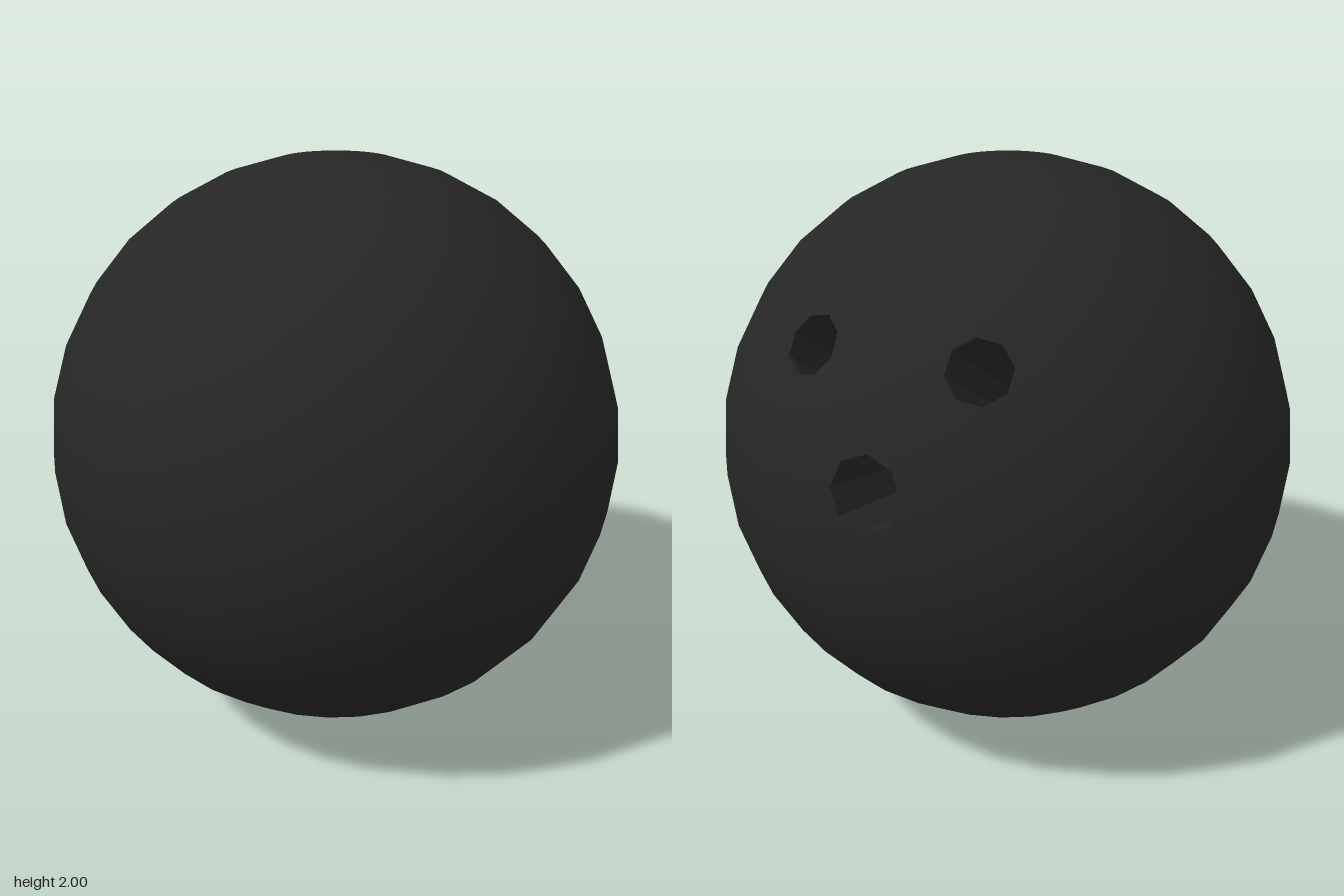
import * as THREE from 'three';

const STEP = Math.PI / 16; // 32 segments around, 16 rings
const SIDES = 8;

// lon, lat on the unit ball; lon 0 faces +x, growing toward -z
const onBall = (lon, lat) => new THREE.Vector3(
  Math.cos(lat) * Math.cos(lon), Math.sin(lat), -Math.cos(lat) * Math.sin(lon));

// centre of each hole, its inward direction, and the lowest cell (i, j) of the 2x2 cells it cuts
const HOLES = [
  { name: 'thumbHole', at: [0.98, 0.197, 0], dir: [-0.97, -0.22, 0], r: 0.12, r2: 0.085, depth: 0.8, i: -1, j: 0, turn: 0 },
  { name: 'rightFingerHole', at: [0.785, 0.553, -0.28], dir: [-0.83, -0.56, 0], r: 0.102, r2: 0.08, depth: 0.6, i: 1, j: 2, turn: 0.15 },
  { name: 'leftFingerHole', at: [0.785, 0.553, 0.28], dir: [-0.83, -0.56, 0], r: 0.102, r2: 0.08, depth: 0.6, i: -3, j: 2, turn: -0.15 },
];

// octagon around a centre, counter-clockwise seen from outside
function ring(centre, out, radius, turn) {
  const u = new THREE.Vector3(0, 1, 0).cross(out).normalize();
  const v = out.clone().cross(u).normalize();
  return Array.from({ length: SIDES }, (_, k) => {
    const a = (k / SIDES) * Math.PI * 2 + turn;
    return centre.clone().addScaledVector(u, radius * Math.cos(a)).addScaledVector(v, radius * Math.sin(a));
  });
}

function geometryFrom(points, smooth) {
  const g = new THREE.BufferGeometry().setFromPoints(points);
  if (smooth) {
    const normals = points.flatMap((p) => p.clone().normalize().toArray());
    g.setAttribute('normal', new THREE.Float32BufferAttribute(normals, 3));
  } else {
    g.computeVertexNormals();
  }
  return g;
}

// ball surface: a grid of cells, with the cells around each hole refilled up to its rim
function ballGeometry(rims) {
  const tris = [];
  const isCut = (i, j) => HOLES.some((h) => i >= h.i && i < h.i + 2 && j >= h.j && j < h.j + 2);
  for (let j = -8; j < 8; j++) {
    for (let i = -16; i < 16; i++) {
      if (isCut(i, j)) continue;
      const p = (di, dj) => onBall((i + di) * STEP, (j + dj) * STEP);
      if (j > -8) tris.push(p(0, 0), p(1, 0), p(1, 1));
      if (j < 7) tris.push(p(0, 0), p(1, 1), p(0, 1));
      if (j === -8) tris.push(p(0, 0), p(1, 1), p(0, 1));
      if (j === 7) tris.push(p(0, 0), p(1, 0), p(1, 1));
    }
  }
  const border = [[0, 0], [1, 0], [2, 0], [2, 1], [2, 2], [1, 2], [0, 2], [0, 1]];
  HOLES.forEach((h, n) => {
    const outer = border.map(([a, b]) => new THREE.Vector2((h.i + a) * STEP, (h.j + b) * STEP));
    const rim = [...rims[n]].reverse();
    const inner = rim.map((p) => new THREE.Vector2(Math.atan2(-p.z, p.x), Math.asin(p.y / p.length())));
    const all = [...outer.map((q) => onBall(q.x, q.y)), ...rim];
    for (const face of THREE.ShapeUtils.triangulateShape(outer, [inner])) {
      tris.push(...face.map((k) => all[k]));
    }
  });
  return geometryFrom(tris, true);
}

// tapered faceted bore with a flat floor
function boreGeometry(h, rim) {
  const dir = new THREE.Vector3(...h.dir).normalize();
  const centre = new THREE.Vector3(...h.at).addScaledVector(dir, h.depth);
  const floor = ring(centre, dir.clone().negate(), h.r2, h.turn);
  const tris = [];
  for (let k = 0; k < SIDES; k++) {
    const m = (k + 1) % SIDES;
    tris.push(rim[k], rim[m], floor[k], rim[m], floor[m], floor[k], centre, floor[k], floor[m]);
  }
  return geometryFrom(tris, false);
}

export function createModel() {
  const group = new THREE.Group();
  const smooth = new THREE.MeshStandardMaterial({ color: 0x262626 });
  const faceted = new THREE.MeshStandardMaterial({ color: 0x262626, flatShading: true });

  const rims = HOLES.map((h) => {
    const at = new THREE.Vector3(...h.at);
    return ring(at, at.clone().normalize(), h.r, h.turn).map((p) => p.setLength(0.992));
  });

  const add = (name, geometry, material) => {
    const mesh = new THREE.Mesh(geometry, material);
    mesh.name = name;
    mesh.position.y = 1;
    group.add(mesh);
  };
  add('ball', ballGeometry(rims), smooth);
  HOLES.forEach((h, n) => add(h.name, boreGeometry(h, rims[n]), faceted));
  return group;
}
